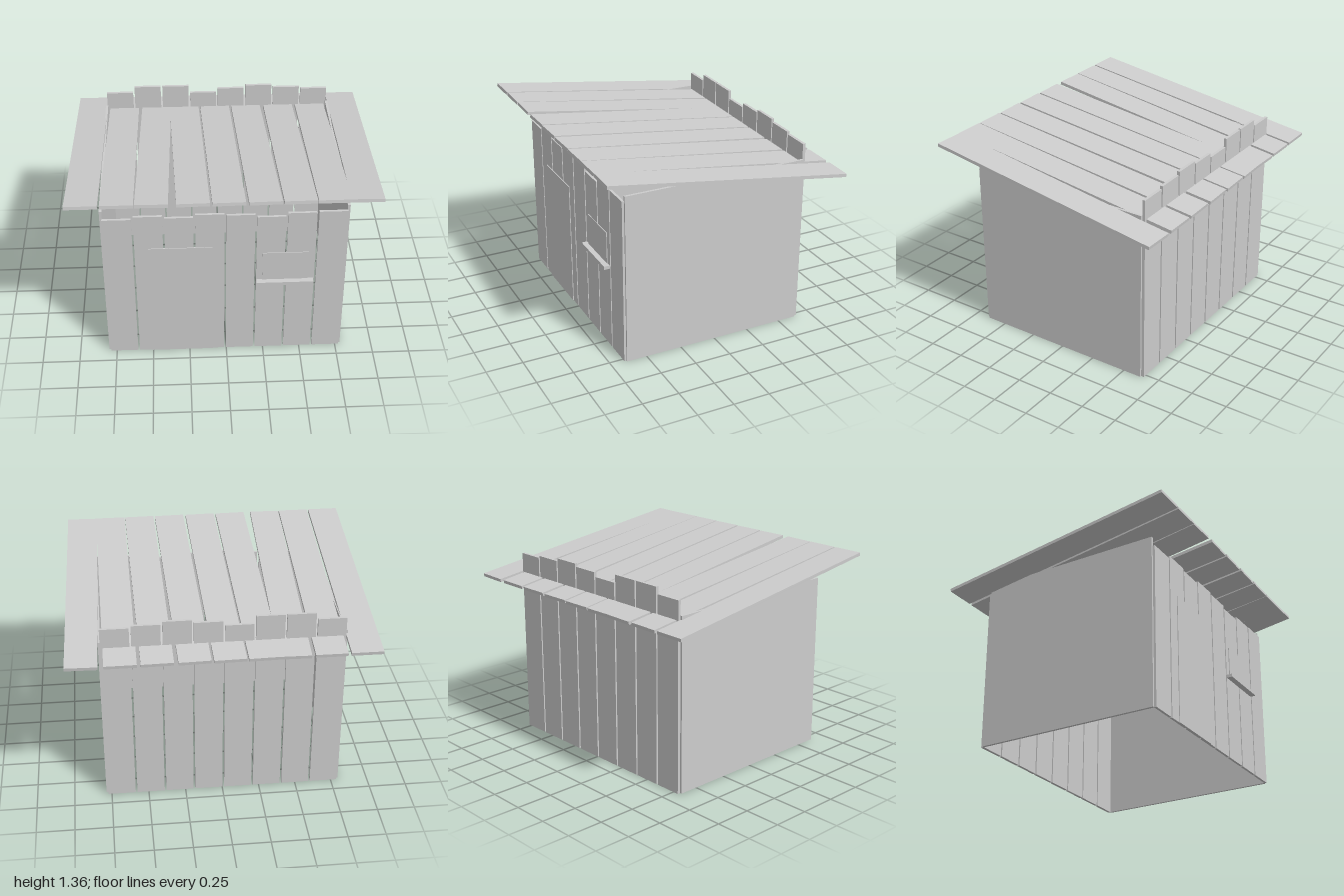
import * as THREE from 'three';

export function createModel() {
  const model = new THREE.Group();
  model.name = 'shed';
  const wood = new THREE.MeshStandardMaterial({ color: 0xcccccc });
  wood.name = 'plain wood';

  // Box given by its lower and upper bounds
  const box = (name, x0, x1, y0, y1, z0, z1, parent = model) => {
    const mesh = new THREE.Mesh(new THREE.BoxGeometry(x1 - x0, y1 - y0, z1 - z0), wood);
    mesh.position.set((x0 + x1) / 2, (y0 + y1) / 2, (z0 + z1) / 2);
    mesh.name = name;
    parent.add(mesh);
    return mesh;
  };

  // Solid side walls
  box('rightWall', -0.803, -0.786, 0, 1.18, -0.63, 0.64);
  box('leftWall', 0.769, 0.786, 0, 1.18, -0.63, 0.64);

  // Rows of upright boards with uneven tops
  const boardWall = (name, tops, z0, z1) => {
    const wall = new THREE.Group();
    wall.name = name;
    tops.forEach((top, i) => {
      const x = -0.79 + i * 0.197;
      box('wallBoard', x, x + 0.185, 0, top, z0, z1, wall);
    });
    model.add(wall);
  };
  boardWall('frontWall', [1.12, 1.14, 1.125, 1.145, 1.135, 1.115, 1.14, 1.145], 0.638, 0.655);
  boardWall('backWall', [1.28, 1.325, 1.325, 1.27, 1.3, 1.32, 1.3, 1.285], -0.65, -0.63);

  // Door, window and ledge on the front
  box('door', -0.505, -0.09, 0, 0.885, 0.65, 0.66);
  box('window', 0.235, 0.535, 0.6, 0.825, 0.65, 0.66);
  box('windowLedge', 0.197, 0.57, 0.582, 0.605, 0.65, 0.695);

  // Sloping roof of slightly crooked planks: [back centre x, front centre x]
  const roof = new THREE.Group();
  roof.name = 'roof';
  roof.position.y = 1.233;
  roof.rotation.x = -0.14;
  const planks = [
    [-0.895, -0.898], [-0.668, -0.68], [-0.437, -0.468], [-0.248, -0.212], [-0.03, 0.008],
    [0.192, 0.232], [0.425, 0.448], [0.655, 0.658], [0.897, 0.858],
  ];
  const length = 1.67;
  for (const [back, front] of planks) {
    const plank = box('roofPlank', -0.103, 0.103, -0.011, 0.011, -length / 2, length / 2, roof);
    plank.position.x = (back + front) / 2;
    plank.rotation.y = Math.atan2(front - back, length);
  }
  model.add(roof);
  return model;
}
